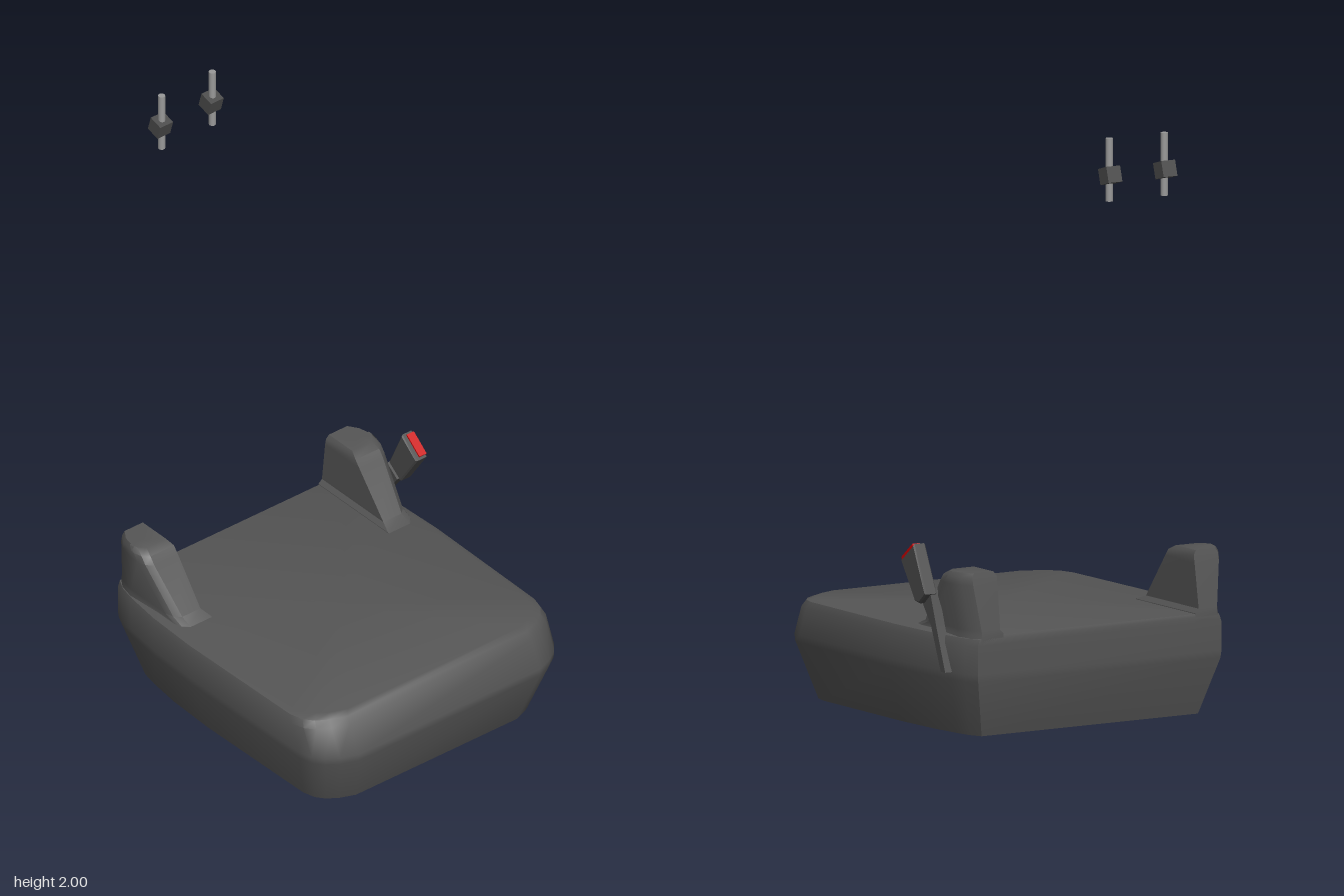
import * as THREE from 'three';
import { toCreasedNormals } from 'three/addons/utils/BufferGeometryUtils.js';

const CX = -0.015; // centre line of the cushion

const material = (color, side = THREE.FrontSide) =>
  new THREE.MeshStandardMaterial({ color, side });

// Skin a stack of closed [x, y, z] rings, bottom to top, closing the top only
function loft(rings, crease) {
  const n = rings[0].length;
  const index = [];
  for (let i = 0; i < rings.length - 1; i++) {
    for (let j = 0; j < n; j++) {
      const k = (j + 1) % n;
      const a = i * n + j, b = i * n + k, c = b + n, d = a + n;
      index.push(a, b, c, a, c, d);
    }
  }
  const top = rings[rings.length - 1];
  const centre = [0, 1, 2].map((e) => top.reduce((s, p) => s + p[e], 0) / n);
  const base = (rings.length - 1) * n;
  for (let j = 0; j < n; j++) index.push(rings.length * n, base + j, base + ((j + 1) % n));
  const g = new THREE.BufferGeometry();
  g.setAttribute('position', new THREE.Float32BufferAttribute([...rings.flat(), centre].flat(), 3));
  g.setIndex(index);
  return toCreasedNormals(g, crease);
}

// Plate with its outline given as [z, y] points, extruded towards +x
function sidePlate(name, points, x, width, mat, bevel = 0) {
  const shape = new THREE.Shape(points.map(([z, y]) => new THREE.Vector2(-z, y)));
  const g = new THREE.ExtrudeGeometry(shape, {
    depth: width - 2 * bevel, bevelEnabled: bevel > 0,
    bevelThickness: bevel, bevelSize: bevel, bevelOffset: -bevel, bevelSegments: 1,
  });
  const mesh = new THREE.Mesh(g, mat);
  mesh.name = name;
  mesh.rotation.y = Math.PI / 2;
  mesh.position.x = x + bevel;
  return mesh;
}

export function createModel() {
  const model = new THREE.Group();
  model.name = 'carSeatCushion';
  const cloth = material(0x555555, THREE.DoubleSide);
  const plastic = material(0x4c4c4c);
  const metal = material(0x999999);
  const red = material(0xcc0000);

  const add = (name, geometry, mat, parent = model) => {
    const mesh = new THREE.Mesh(geometry, mat);
    mesh.name = name;
    parent.add(mesh);
    return mesh;
  };

  // Cushion: half outline as [width fraction, depth fraction], front to back
  const half = [[0.72, 1], [0.83, 0.98], [0.91, 0.955], [0.96, 0.925], [0.985, 0.88],
    [1, 0.4], [0.985, 0.22], [0.955, 0.1], [0.93, 0.04], [0.89, 0]];
  const outline = [...half, ...half.map(([x, t]) => [-x, t]).reverse()];
  // Levels: height, half width, front z, back z (open underneath)
  const levels = [
    [0, 0.475, 0.63, -0.38], [0.19, 0.532, 0.695, -0.438], [0.215, 0.535, 0.695, -0.44],
    [0.31, 0.535, 0.65, -0.44], [0.333, 0.526, 0.632, -0.44], [0.343, 0.503, 0.61, -0.437],
  ];
  add('cushion', loft(levels.map(([y, w, front, back]) =>
    outline.map(([x, t]) => [CX + x * w, y, back + t * (front - back)])), 0.6), cloth);

  // Side bolsters: height, inner x, outer x, front z, back z
  const bolsterLevels = [
    [0.31, 0.375, 0.5, -0.02, -0.44], [0.345, 0.375, 0.495, -0.08, -0.44],
    [0.36, 0.388, 0.495, -0.12, -0.438], [0.51, 0.385, 0.515, -0.24, -0.418],
    [0.535, 0.385, 0.515, -0.26, -0.413], [0.55, 0.395, 0.507, -0.29, -0.41],
  ];
  for (const side of [1, -1]) {
    const rings = bolsterLevels.map(([y, inner, outer, front, back]) => {
      const ring = [
        [inner, front], [outer - 0.03, front], [outer - 0.008, front - 0.02],
        [outer, front - 0.05], [outer, back + 0.09], [outer - 0.012, back + 0.035],
        [outer - 0.035, back], [inner, back],
      ].map(([x, z]) => [CX + side * x, y, z]);
      return side > 0 ? ring : ring.reverse();
    });
    add(side > 0 ? 'leftBolster' : 'rightBolster', loft(rings, 0.6), cloth);
  }

  // Belt buckle: tapered stalk, head and red release button
  const buckle = new THREE.Group();
  buckle.name = 'beltBuckle';
  buckle.add(
    sidePlate('buckleStalk', [[-0.335, 0.215], [-0.308, 0.215], [-0.25, 0.36],
      [-0.188, 0.443], [-0.24, 0.482], [-0.282, 0.36]], 0.487, 0.034, plastic),
    sidePlate('buckleHead', [[-0.177, 0.623], [-0.098, 0.56], [-0.182, 0.435],
      [-0.21, 0.43], [-0.25, 0.465]], 0.496, 0.047, plastic, 0.005),
    sidePlate('releaseButton', [[-0.168, 0.623], [-0.102, 0.57], [-0.112, 0.555],
      [-0.178, 0.608]], 0.512, 0.03, red),
  );
  model.add(buckle);

  // Headrest posts with their guide blocks
  for (const x of [-0.125, 0.09]) {
    const post = new THREE.Group();
    post.name = 'headrestPost';
    post.position.set(x, 0, -0.66);
    add('rod', new THREE.CylinderGeometry(0.012, 0.012, 0.21, 16), metal, post).position.y = 1.895;
    const guide = add('guideBlock', new THREE.BoxGeometry(0.054, 0.054, 0.052), plastic, post);
    guide.position.set(0, 1.877, -0.006);
    guide.rotation.x = 0.28;
    model.add(post);
  }
  return model;
}
